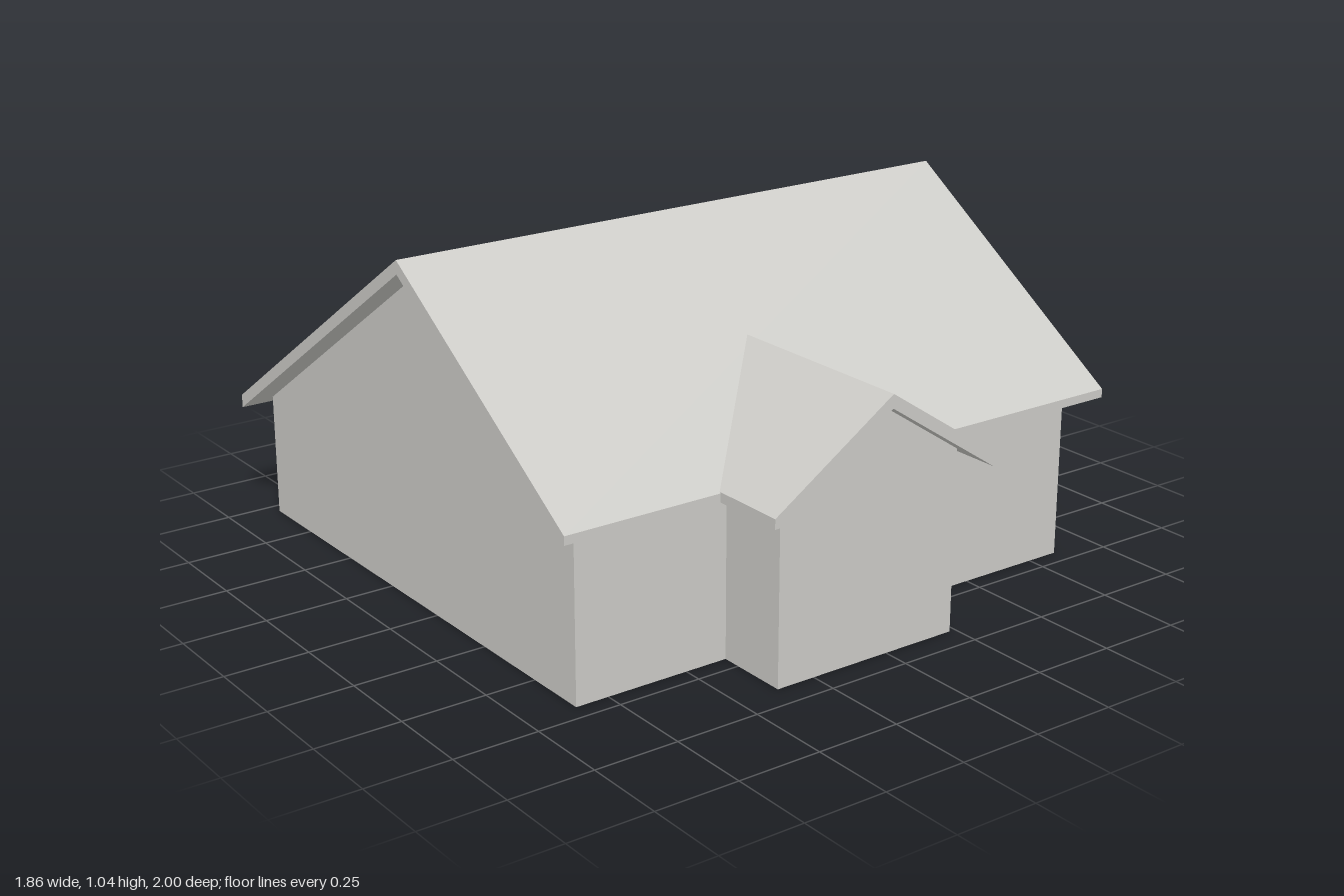
import * as THREE from 'three';

const SLOPE = 0.662, RIDGE_Z = -0.01, RIDGE_Y = 1.04, THICK = 0.04;
const PORCH_X = -0.07, PORCH_Y = 0.775;

// heights of the main roof (z) and the front gable roof (distance from its ridge)
const mainTop = (z) => RIDGE_Y - SLOPE * Math.abs(z - RIDGE_Z);
const mainUnder = (z) => mainTop(z) - THICK;
const porchTop = (d) => PORCH_Y - SLOPE * Math.abs(d);
const porchUnder = (d) => porchTop(d) - THICK;
// depth at which the main roof surface reaches height y
const valleyZ = (y) => RIDGE_Z + (RIDGE_Y - y) / SLOPE;

const extrude = (points, depth) => new THREE.ExtrudeGeometry(
  new THREE.Shape(points.map(([a, b]) => new THREE.Vector2(a, b))),
  { depth, bevelEnabled: false });

// (z, y) profile swept along x
const alongX = (points, x0, x1) =>
  extrude(points, x1 - x0).rotateY(-Math.PI / 2).translate(x1, 0, 0);

// (x, y) profile swept along z, its back end trimmed by a rule on height
function alongZ(points, front, backRule) {
  const geo = extrude(points, front);
  const p = geo.attributes.position;
  for (let i = 0; i < p.count; i++) {
    if (p.getZ(i) < front / 2) p.setZ(i, backRule(p.getY(i)));
  }
  geo.computeVertexNormals();
  return geo;
}

export function createModel() {
  const house = new THREE.Group();
  house.name = 'house';
  const grey = new THREE.MeshStandardMaterial({ color: 0xcccbc7 });
  grey.name = 'plain grey';
  const add = (name, geo) => {
    const mesh = new THREE.Mesh(geo, grey);
    mesh.name = name;
    house.add(mesh);
  };

  // main block with gable ends
  const wallFront = 0.695, wallBack = -0.71;
  add('mainWalls', alongX([
    [wallBack, 0], [wallFront, 0], [wallFront, mainUnder(wallFront)],
    [RIDGE_Z, RIDGE_Y - THICK], [wallBack, mainUnder(wallBack)],
  ], -0.85, 0.85));

  // main roof, front eave trimmed level underneath
  const eaveY = 0.495, eaveZ = 0.775, backZ = -0.795;
  add('mainRoof', alongX([
    [eaveZ, eaveY], [eaveZ, mainTop(eaveZ)], [RIDGE_Z, RIDGE_Y],
    [backZ, mainTop(backZ)], [backZ, mainUnder(backZ)],
    [RIDGE_Z, RIDGE_Y - THICK], [valleyZ(eaveY + THICK), eaveY],
  ], -0.93, 0.927));

  // rear extension under the continued back slope
  add('rearWalls', alongX([
    [-0.955, 0], [wallBack, 0], [wallBack, mainUnder(wallBack)], [-0.955, mainUnder(-0.955)],
  ], -0.85, -0.25));
  add('rearRoof', alongX([
    [-1, mainUnder(-1)], [backZ, mainUnder(backZ)], [backZ, mainTop(backZ)], [-1, mainTop(-1)],
  ], -0.93, -0.17));

  // projecting front gable
  const w = 0.3;
  add('frontGableWalls', alongZ([
    [PORCH_X - w, 0], [PORCH_X + w, 0], [PORCH_X + w, porchUnder(w)],
    [PORCH_X, PORCH_Y - THICK], [PORCH_X - w, porchUnder(w)],
  ], 0.92, (y) => Math.min(wallFront, valleyZ(y))));

  // front gable roof, meeting the main roof along its valleys
  const e = 0.38, trim = (PORCH_Y - THICK - eaveY) / SLOPE;
  add('frontGableRoof', alongZ([
    [PORCH_X - e, eaveY], [PORCH_X - trim, eaveY], [PORCH_X, PORCH_Y - THICK],
    [PORCH_X + trim, eaveY], [PORCH_X + e, eaveY], [PORCH_X + e, porchTop(e)],
    [PORCH_X, PORCH_Y], [PORCH_X - e, porchTop(e)],
  ], 1, (y) => Math.min(eaveZ, valleyZ(y))));

  return house;
}
